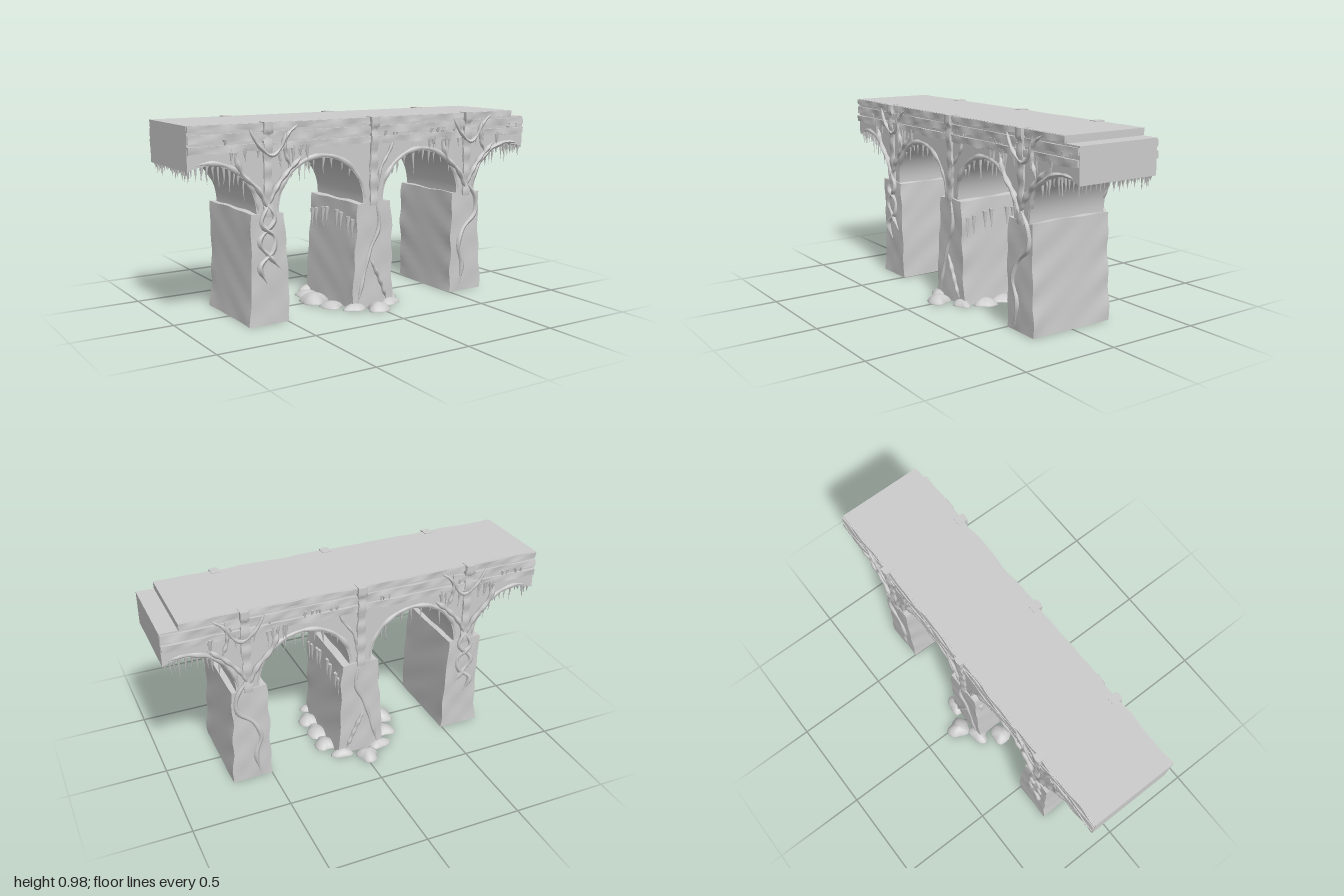
import * as THREE from 'three';
import { toCreasedNormals } from 'three/addons/utils/BufferGeometryUtils.js';

const material = new THREE.MeshStandardMaterial({ color: 0xcccccc });
const PIERS = [-0.6, 0, 0.6], ARCHES = [-0.9, -0.3, 0.3, 0.9];
const SPRING = 0.55, RADIUS = 0.24, WALL = 0.226;

let seed = 7;
const rand = (a, b) => {
  seed = (seed * 16807) % 2147483647;
  return a + (b - a) * seed / 2147483647;
};
const noise = (x, y, z) =>
  0.5 * Math.sin(17 * x + 9 * y + 2) + 0.3 * Math.sin(31 * y - 23 * x + 13 * z) + 0.3 * Math.sin(43 * x + 29 * z + 37 * y);

function warp(geometry, rule) {
  const p = geometry.attributes.position, v = new THREE.Vector3();
  for (let i = 0; i < p.count; i++) {
    rule(v.fromBufferAttribute(p, i));
    p.setXYZ(i, v.x, v.y, v.z);
  }
  geometry.computeVertexNormals();
  return geometry;
}

function add(parent, name, geometry) {
  const mesh = new THREE.Mesh(geometry, material);
  mesh.name = name;
  parent.add(mesh);
  return mesh;
}

const nearestArch = x => ARCHES.reduce((a, b) => (Math.abs(b - x) < Math.abs(a - x) ? b : a));

// Height of the arch underside at x
const archHeight = x => SPRING + Math.sqrt(Math.max(0, RADIUS ** 2 - (x - nearestArch(x)) ** 2));

// Solid bridge body: deck, spandrels and arch barrels in one outline
function bodyGeometry() {
  const pts = [[-1, archHeight(-1)]];
  for (const c of ARCHES) {
    for (let i = 0; i <= 32; i++) {
      const a = Math.PI * (1 - i / 32), x = c + RADIUS * Math.cos(a);
      if (Math.abs(x) < 1) pts.push([x, SPRING + RADIUS * Math.sin(a)]);
    }
    // carry the neck down into the pier
    if (c < 0.9) pts.push([c + RADIUS, 0.5], [c + 0.6 - RADIUS, 0.5]);
  }
  pts.push([1, archHeight(1)], [1, 0.94], [0.91, 0.94], [0.91, 0.975], [-1, 0.975]);
  const shape = new THREE.Shape(pts.map(p => new THREE.Vector2(...p)));
  const g = new THREE.ExtrudeGeometry(shape, { depth: 2 * WALL, bevelEnabled: false });
  g.translate(0, 0, -WALL);
  return toCreasedNormals(g, 0.6);
}

// Worn block pier, tapering upward, wrinkled mostly near its faces' edges
function pierGeometry(x0, bottom, top) {
  const g = new THREE.BoxGeometry(2, 0.545, 0.466, 8, 16, 14);
  warp(g.translate(0, 0.2725, 0), v => {
    v.y = Math.max(0, v.y);
    const t = v.y / 0.545, edge = 0.35 + 0.65 * (v.z / 0.233) ** 4;
    const n = noise(v.x * 0.1 + x0, v.y, v.z);
    const half = bottom + (top - bottom) * Math.pow(t, 0.8);
    v.x = x0 + v.x * (half + 0.009 * n * edge);
    v.z *= 1 + 0.018 * noise(v.x, v.y, 0);
    if (t > 0.99) v.y += 0.008 * n;
  });
  return toCreasedNormals(g, 0.7);
}

// Uneven horizontal moulding
function bandGeometry(x0, x1, y0, y1, s, out) {
  const w = x1 - x0, h = y1 - y0;
  const g = new THREE.BoxGeometry(w, h, 0.03, Math.round(w * 35), 3, 1);
  g.translate((x0 + x1) / 2, (y0 + y1) / 2, s * (out - 0.015));
  warp(g, v => {
    const n = noise(v.x * 1.7, v.y, s);
    if (v.y < y0 + 0.001) v.y += 0.007 * n;
    if (v.z * s > out - 0.01) v.z += s * 0.006 * noise(v.x, v.y * 2, s);
  });
  return toCreasedNormals(g, 0.9);
}

// Narrow post with a cap and a bulging shaft
function postGeometry(x0, s) {
  const g = new THREE.BoxGeometry(0.042, 0.45, 0.05, 4, 30, 3);
  warp(g.translate(x0, 0.753, s * 0.222), v => {
    const cap = v.y > 0.925 ? 0.009 : 0.004 * Math.sin(v.y * 60);
    const slim = v.y < 0.8 ? 0.006 : 0;
    v.x += (v.x - x0) * (cap * 12 + 0.2 * noise(x0, v.y * 2, s));
    if (v.z * s > 0.24) v.z += s * (cap - slim - 0.24 * Math.abs(v.x - x0));
  });
  return toCreasedNormals(g, 0.8);
}

function icicle(parent, x, y, z, length, r) {
  const g = new THREE.ConeGeometry(r, length, 6, 3);
  g.rotateX(Math.PI);
  warp(g, v => {
    const t = 0.5 - v.y / length;
    v.x = v.x * (1 - 0.3 * t) + 0.003 * Math.sin(t * 5 + x * 40);
  });
  add(parent, 'icicle', g).position.set(x, y - length / 2, z);
}

// Creeping stem that lies on the face; ends taper off
function stem(parent, name, s, z, r, points) {
  const curve = new THREE.CatmullRomCurve3(points.map(([x, y], i) =>
    new THREE.Vector3(x, y, s * (z + 0.003 * Math.sin(i * 2)))));
  const n = 36, sides = 6, g = new THREE.TubeGeometry(curve, n, r, sides);
  const centre = new THREE.Vector3();
  let i = 0;
  warp(g, v => {
    const t = Math.floor(i++ / (sides + 1)) / n;
    curve.getPointAt(t, centre);
    const k = Math.min(1, 0.1 + 6 * Math.min(t, 1 - t)) * (1 + 0.2 * Math.sin(t * 25));
    v.sub(centre).multiplyScalar(k).add(centre);
  });
  add(parent, name, g);
}

// Flat-bottomed mound at the foot of the middle pier
function mound(parent, x, z, rx, rz, h) {
  const g = new THREE.SphereGeometry(1, 18, 12);
  warp(g, v => {
    const a = Math.atan2(v.z, v.x), k = 1 + 0.12 * Math.sin(3 * a + x * 20) + 0.06 * Math.sin(5 * a);
    v.set(x + v.x * rx * k, Math.max(0, v.y) ** 1.5 * h, z + v.z * rz * k);
  });
  add(parent, 'footMound', g);
}

export function createModel() {
  const model = new THREE.Group();
  model.name = 'viaduct';
  add(model, 'deckAndArches', bodyGeometry());
  for (const x of PIERS) add(model, 'pier', x ? pierGeometry(x, 0.106, 0.09) : pierGeometry(0, 0.128, 0.1));

  for (const s of [1, -1]) {
    const side = new THREE.Group();
    side.name = s > 0 ? 'frontDressing' : 'backDressing';
    model.add(side);
    const vine = (z, r, points) => stem(side, 'vine', s, z, r, points);

    // Mouldings and posts
    add(side, 'parapetBand', bandGeometry(-0.998, 0.909, 0.945, 0.974, s, 0.234));
    add(side, 'middleBand', bandGeometry(-0.998, 0.998, 0.893, 0.932, s, 0.236));
    add(side, 'lowerBand', bandGeometry(-0.998, 0.998, 0.845, 0.88, s, 0.238));
    for (const x of PIERS) add(side, 'post', postGeometry(x, s));

    // Worn rims around the arches
    for (const c of ARCHES) {
      const pts = [];
      for (let i = 0; i <= 24; i++) {
        const a = Math.PI * i / 24, x = c + 0.251 * Math.cos(a);
        if (Math.abs(x) < 0.99) pts.push([x, SPRING + 0.251 * Math.sin(a)]);
      }
      stem(side, 'archRim', s, 0.222, 0.013, pts);
    }

    // Icicles along the arch crowns, denser toward both ends
    for (let x = -0.98; x < 0.985; x += Math.abs(x) > 0.72 ? rand(0.018, 0.034) : rand(0.025, 0.06)) {
      if (Math.abs(x - nearestArch(x)) < 0.19)
        icicle(side, x, archHeight(x) + 0.012, s * 0.218, rand(0.035, 0.1) * (rand(0, 1) > 0.8 ? 1.4 : 1), rand(0.006, 0.012));
    }

    // Drips below the mouldings, gathered around the outer piers
    for (const x0 of [-0.6, 0.6])
      for (let i = 0; i < 15; i++)
        icicle(side, x0 + rand(-0.25, 0.22), 0.86, s * 0.23, rand(0.05, 0.13), rand(0.007, 0.012));
    for (let i = 0; i < 16; i++)
      icicle(side, rand(-0.97, 0.97), 0.905, s * 0.232, rand(0.03, 0.06), rand(0.007, 0.011));

    // Vines over the spandrels
    for (const x of [-0.6, 0.6]) {
      vine(0.232, 0.013, [[x, 0.56], [x - 0.05, 0.66], [x - 0.13, 0.74], [x - 0.17, 0.84]]);
      vine(0.232, 0.013, [[x, 0.58], [x + 0.04, 0.66], [x + 0.1, 0.73], [x + 0.19, 0.81]]);
      vine(0.242, 0.009, [[x - 0.1, 0.95], [x - 0.05, 0.87], [x + 0.02, 0.82], [x + 0.07, 0.86], [x + 0.1, 0.95]]);
      vine(0.24, 0.009, [[x + 0.16, 0.96], [x + 0.1, 0.91], [x + 0.09, 0.84], [x + 0.12, 0.76]]);
    }
    vine(0.235, 0.008, [[0.02, 0.6], [0.04, 0.72], [0.1, 0.81], [0.12, 0.87]]);

    // Vines down the piers
    vine(0.234, 0.013, [[-0.59, 0.6], [-0.64, 0.5], [-0.57, 0.43], [-0.58, 0.36], [-0.65, 0.29], [-0.61, 0.2]]);
    vine(0.234, 0.013, [[-0.62, 0.6], [-0.57, 0.52], [-0.65, 0.41], [-0.6, 0.34], [-0.54, 0.27]]);
    vine(0.234, 0.013, [[0.6, 0.6], [0.66, 0.52], [0.665, 0.43], [0.58, 0.34], [0.55, 0.25], [0.58, 0.15], [0.56, 0.02]]);
    vine(0.234, 0.01, [[0.01, 0.56], [0.03, 0.42], [-0.02, 0.3], [-0.06, 0.17], [-0.1, 0.02]]);
    vine(0.234, 0.01, [[-0.02, 0.25], [0.03, 0.15], [0.08, 0.03]]);

    // Drips on the flanks of the middle pier
    for (const z of [0.05, 0.09, 0.16, 0.2])
      for (const q of [1, -1]) icicle(side, q * 0.108, 0.5 - z * 0.2, s * z, 0.11, 0.014);

    // Mounds around the middle pier
    mound(side, -0.015, s * 0.3, 0.055, 0.064, 0.04);
    mound(side, -0.11, s * 0.23, 0.065, 0.045, 0.03);
    mound(side, 0.1, s * 0.23, 0.06, 0.04, 0.03);
    mound(side, -0.19, s * 0.13, 0.06, 0.055, 0.03);
    mound(side, 0.155, s * 0.12, 0.06, 0.06, 0.035);
  }
  mound(model, -0.22, 0, 0.075, 0.07, 0.05);
  mound(model, 0.15, 0, 0.06, 0.07, 0.03);

  // Teeth of ice across both open ends
  for (const x of [-0.985, 0.985])
    for (let z = -0.21; z < 0.215; z += rand(0.018, 0.032))
      icicle(model, x, archHeight(x) + 0.01, z, rand(0.035, 0.075), 0.011);
  return model;
}
